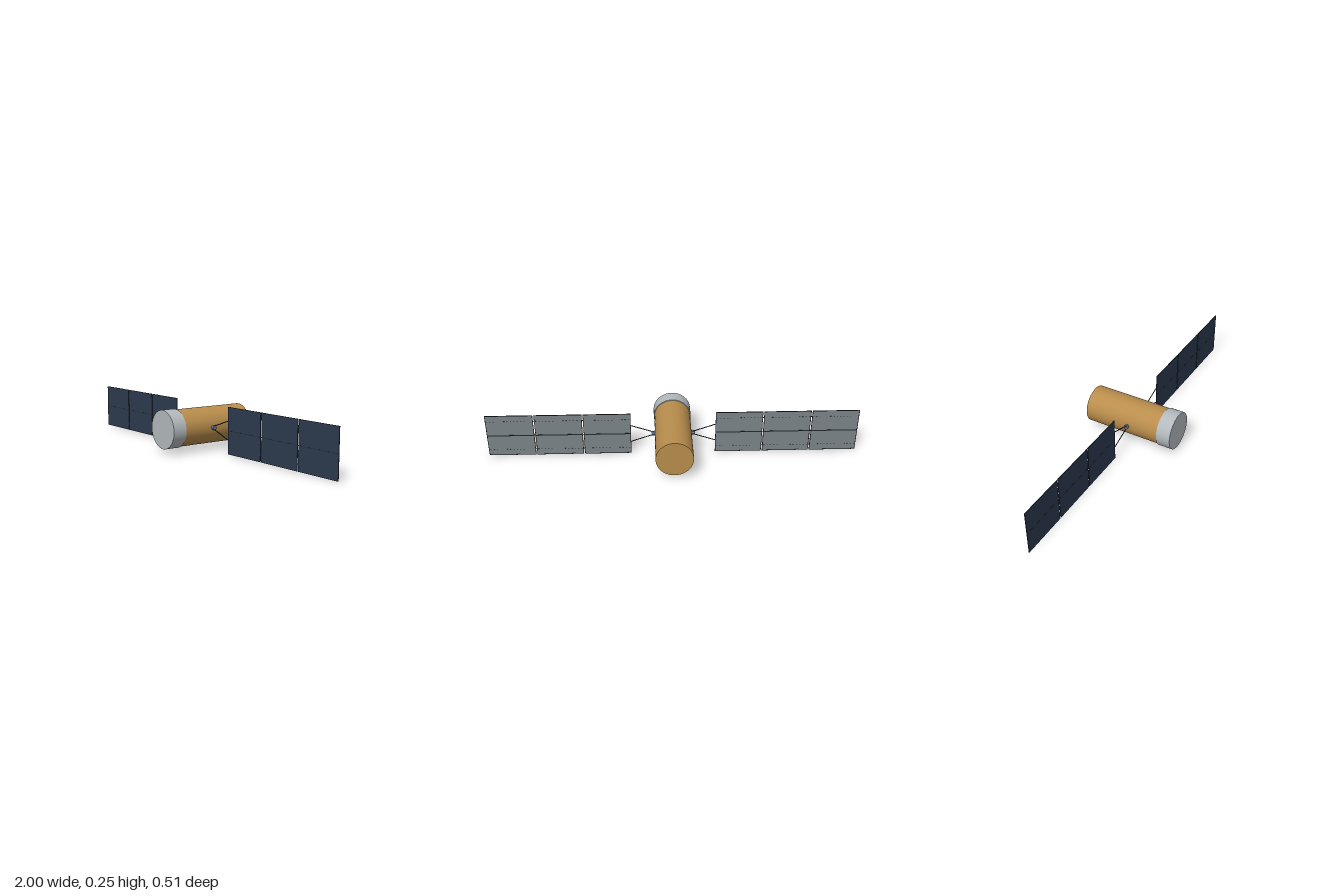
import * as THREE from 'three';

const paint = (name, color) => {
  const m = new THREE.MeshStandardMaterial({ color });
  m.name = name;
  return m;
};

export function createModel() {
  const gold = paint('gold foil', 0xb98d4c);
  const silver = paint('silver', 0xb3babd);
  const navy = paint('navy solar cells', 0x2c3a4f);
  const grey = paint('grey panel back', 0x7c8488);
  const dark = paint('dark frame', 0x24282c);
  const steel = paint('blue grey steel', 0x66788c);

  const model = new THREE.Group();
  model.name = 'satellite';
  const midY = 0.124;

  const add = (parent, name, geometry, material, x = 0, y = 0, z = 0) => {
    const mesh = new THREE.Mesh(geometry, material);
    mesh.name = name;
    mesh.position.set(x, y, z);
    parent.add(mesh);
    return mesh;
  };

  // Round rod between two points
  const rod = (parent, name, a, b, radius, material) => {
    const dir = b.clone().sub(a);
    const mesh = add(parent, name, new THREE.CylinderGeometry(radius, radius, dir.length(), 8), material);
    mesh.position.copy(a).add(b).multiplyScalar(0.5);
    mesh.quaternion.setFromUnitVectors(new THREE.Vector3(0, 1, 0), dir.normalize());
  };

  // Barrel and the slightly wider collar at the front
  const barrel = (name, r, z0, z1, material) => {
    const geometry = new THREE.CylinderGeometry(r, r, z1 - z0, 48).rotateX(Math.PI / 2);
    add(model, name, geometry, material, 0, midY, (z0 + z1) / 2);
  };
  barrel('body', 0.099, -0.254, 0.18, gold);
  barrel('frontCollar', 0.103, 0.175, 0.254, silver);

  // Solar wings: three separate panels on a forked mount
  const inner = 0.228, gap = 0.006, height = 0.248, depth = 0.003;
  const width = (1 - inner - 2 * gap) / 3;
  const panelGeometry = new THREE.BoxGeometry(width, height, depth);
  const panelMaterials = [dark, dark, dark, dark, navy, grey];

  for (const side of [1, -1]) {
    const wing = new THREE.Group();
    wing.name = side > 0 ? 'leftWing' : 'rightWing';
    wing.position.y = midY;
    model.add(wing);

    // Hub and V struts
    const hub = new THREE.CylinderGeometry(0.0125, 0.0125, 0.02, 6).toNonIndexed();
    hub.computeVertexNormals();
    hub.rotateZ(Math.PI / 2);
    add(wing, 'hub', hub, steel, side * 0.106);
    for (const s of [1, -1]) {
      rod(wing, 'strut', new THREE.Vector3(side * 0.104, s * 0.007, 0),
        new THREE.Vector3(side * (inner + 0.002), s * 0.051, 0), 0.0025, dark);
    }

    for (let i = 0; i < 3; i++) {
      const panel = new THREE.Group();
      panel.name = 'solarPanel';
      panel.position.x = side * (inner + width / 2 + i * (width + gap));
      wing.add(panel);
      add(panel, 'panelSheet', panelGeometry, panelMaterials);

      // Thin strips laid on the faces
      const strip = (name, w, h, x, y, face) =>
        add(panel, name, new THREE.BoxGeometry(w, h, 0.0008), dark, x, y, face * (depth / 2 + 0.0003));
      strip('frontSeam', width, 0.002, 0, 0, 1);
      strip('backSpar', width, 0.006, 0, 0, -1);
      for (const s of [1, -1]) {
        strip('backEdge', width, 0.003, 0, s * (height / 2 - 0.0015), -1);
        strip('backEnd', 0.003, height, s * (width / 2 - 0.0015), 0, -1);
        // Dashed row of fasteners
        for (let k = 0; k < 14; k++) {
          strip('fastener', 0.007, 0.0018, (k - 6.5) * width / 14, s * 0.088, -1);
        }
      }
    }

    // Hinges bridging the gaps
    for (let i = 1; i < 3; i++) {
      const x = side * (inner + i * (width + gap) - gap / 2);
      for (const y of [-0.088, 0, 0.088]) {
        add(wing, 'hinge', new THREE.BoxGeometry(gap + 0.002, 0.004, 0.002), dark, x, y);
      }
    }
  }
  return model;
}
